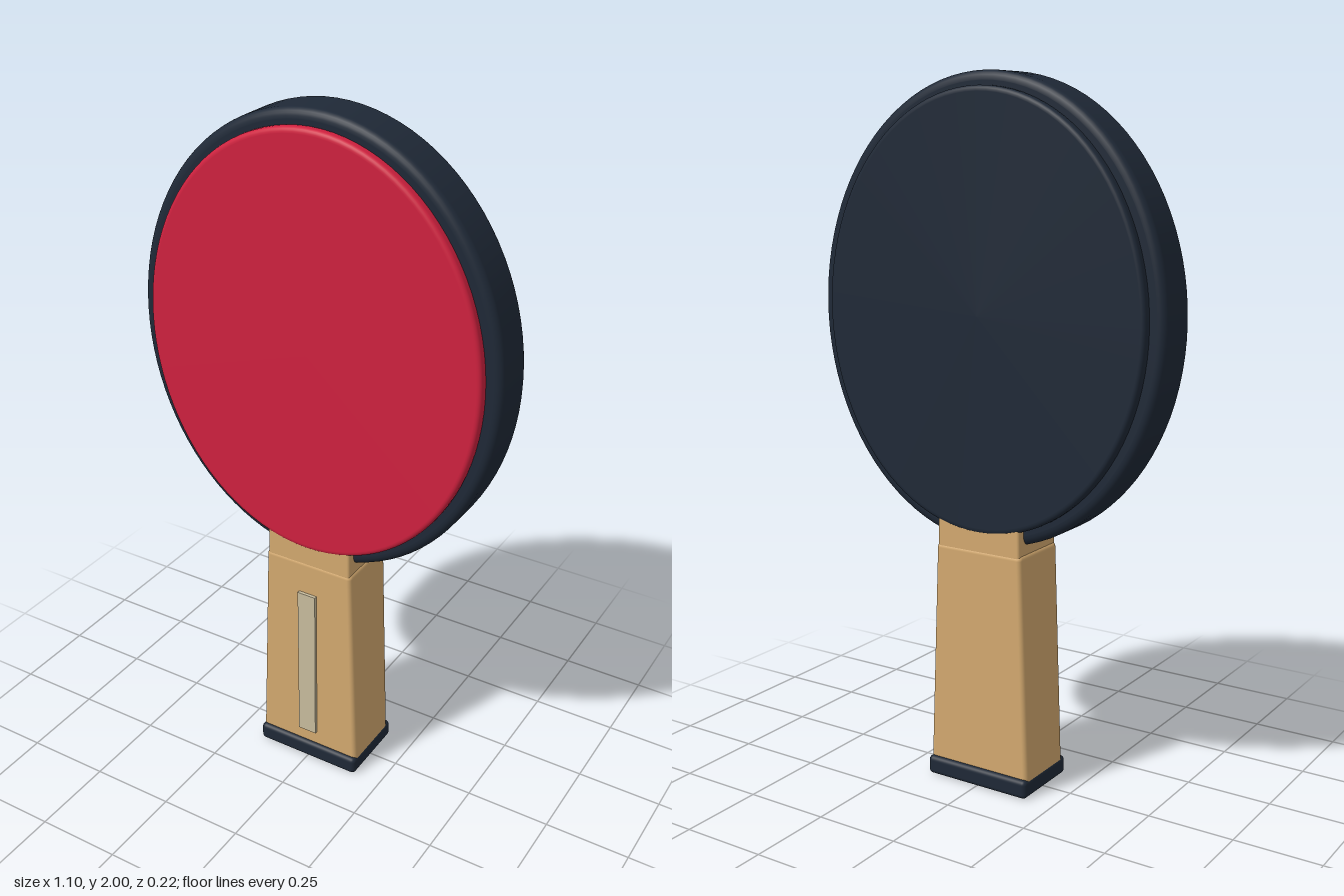
import * as THREE from 'three';
import { RoundedBoxGeometry } from 'three/addons/geometries/RoundedBoxGeometry.js';

const mat = (name, color) => {
  const m = new THREE.MeshStandardMaterial({ color });
  m.name = name;
  return m;
};

// Oval disc facing z, with rounded rims
function ovalDisc(rx, ry, z0, z1, bevel) {
  const half = (z1 - z0) / 2, steps = 6;
  const inset = bevel / rx;
  const pts = [new THREE.Vector2(0, -half), new THREE.Vector2(1 - inset - 0.002, -half)];
  const arc = (from, y) => {
    for (let i = 0; i <= steps; i++) {
      const a = from + (i / steps) * Math.PI / 2;
      pts.push(new THREE.Vector2(1 - inset + inset * Math.cos(a), y + bevel * Math.sin(a)));
    }
  };
  arc(-Math.PI / 2, -half + bevel);
  arc(0, half - bevel);
  pts.push(new THREE.Vector2(1 - inset - 0.002, half), new THREE.Vector2(0, half));
  const geo = new THREE.LatheGeometry(pts, 96);
  geo.rotateX(Math.PI / 2);
  geo.scale(rx, ry, 1);
  geo.translate(0, 1.355, (z0 + z1) / 2);
  return geo;
}

// Rounded box standing between y0 and y1, narrowing from bottom to top
function taperedBox(bottomW, topW, y0, y1, depth, radius) {
  const h = y1 - y0;
  const geo = new RoundedBoxGeometry(bottomW, h, depth, 4, radius);
  const p = geo.attributes.position;
  for (let i = 0; i < p.count; i++) {
    const t = p.getY(i) / h + 0.5;
    p.setX(i, p.getX(i) * (1 + (topW / bottomW - 1) * t));
  }
  geo.translate(0, (y0 + y1) / 2, 0);
  return geo;
}

export function createModel() {
  const group = new THREE.Group();
  group.name = 'tableTennisPaddle';
  const navy = mat('dark navy', 0x1f2937);
  const red = mat('red rubber', 0xd0213f);
  const wood = mat('light wood', 0xd4aa70);
  const cream = mat('pale inlay', 0xc9bd9e);

  const add = (name, geo, material) => {
    const mesh = new THREE.Mesh(geo, material);
    mesh.name = name;
    group.add(mesh);
  };

  // Head: core blade with a rubber sheet on each face
  add('blade', ovalDisc(0.55, 0.645, -0.072, 0.072, 0.022), navy);
  add('frontRubber', ovalDisc(0.507, 0.605, 0.065, 0.1, 0.012), red);
  add('backRubber', ovalDisc(0.507, 0.605, -0.1, -0.065, 0.012), navy);

  // Grip: collar under the head, flared handle and end cap
  add('collar', taperedBox(0.272, 0.268, 0.64, 0.84, 0.194, 0.008), wood);
  add('handle', taperedBox(0.332, 0.28, 0.03, 0.705, 0.198, 0.015), wood);
  add('endCap', taperedBox(0.335, 0.335, 0, 0.055, 0.225, 0.014), navy);

  // Inlay strip on the front of the handle
  const strip = new THREE.BoxGeometry(0.058, 0.5, 0.0095);
  strip.translate(0, 0.35, 0.1045);
  add('handleInlay', strip, cream);

  return group;
}
